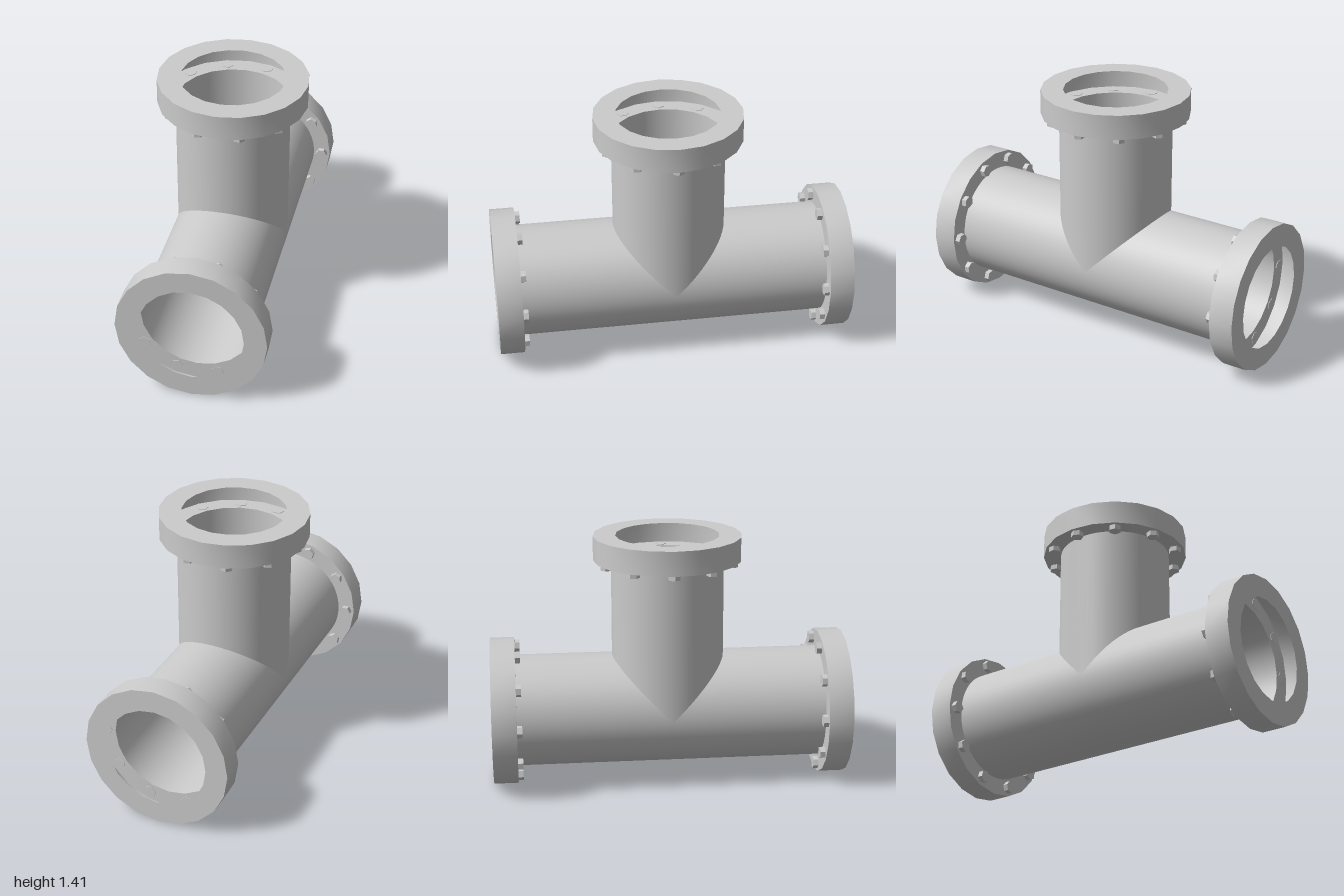
import * as THREE from 'three';
import { toCreasedNormals } from 'three/addons/utils/BufferGeometryUtils.js';

const PIPE_R = 0.315;
const FLANGE_R = 0.415;
const MOUTH_R = 0.29;
const PLATE = 0.863; // distance from the tee centre to the flange back plate
const BOLT_CIRCLE = 0.365;

const material = new THREE.MeshStandardMaterial({ color: 0xcccccc, side: THREE.DoubleSide });
const boltMaterial = new THREE.MeshStandardMaterial({ color: 0xcccccc, flatShading: true });

// Pipe along +y whose lower edge is trimmed by a rule of local z
function pipeGeometry(trim) {
  const geometry = new THREE.CylinderGeometry(PIPE_R, PIPE_R, PLATE, 64, 1, true);
  geometry.translate(0, PLATE / 2, 0);
  const p = geometry.attributes.position;
  for (let i = 0; i < p.count; i++) {
    if (p.getY(i) < 0.01) p.setY(i, trim(p.getZ(i)));
  }
  return geometry;
}

// Hollow thin-walled flange: back plate, rim and front ring
function flangeGeometry() {
  const profile = [
    [PIPE_R - 0.003, PLATE],
    [FLANGE_R, PLATE],
    [FLANGE_R, 1],
    [MOUTH_R, 1],
  ].map(([r, y]) => new THREE.Vector2(r, y));
  return toCreasedNormals(new THREE.LatheGeometry(profile, 20), 0.6);
}

function createLeg(name, trim, flange, bolt) {
  const leg = new THREE.Group();
  leg.name = name;

  const pipe = new THREE.Mesh(pipeGeometry(trim), material);
  pipe.name = 'pipe';
  const rim = new THREE.Mesh(flange, material);
  rim.name = 'flange';
  leg.add(pipe, rim);

  // Ring of hexagonal bolts under the back plate
  const bolts = new THREE.Group();
  bolts.name = 'bolts';
  for (let i = 0; i < 10; i++) {
    const a = (i / 10) * Math.PI * 2;
    const mesh = new THREE.Mesh(bolt, boltMaterial);
    mesh.name = 'bolt';
    mesh.position.set(BOLT_CIRCLE * Math.cos(a), PLATE - 0.013, BOLT_CIRCLE * Math.sin(a));
    mesh.rotation.y = -a;
    bolts.add(mesh);
  }
  leg.add(bolts);
  return leg;
}

export function createModel() {
  const model = new THREE.Group();
  model.name = 'pipeTee';

  const flange = flangeGeometry();
  const bolt = new THREE.CylinderGeometry(0.035, 0.035, 0.032, 6, 1, false, Math.PI / 2);

  // Three equal legs, mitred where they meet
  const branch = createLeg('branchLeg', (z) => Math.abs(z), flange, bolt);
  const front = createLeg('frontLeg', (z) => Math.max(0, -z), flange, bolt);
  front.rotation.x = Math.PI / 2;
  const back = createLeg('backLeg', (z) => Math.max(0, z), flange, bolt);
  back.rotation.x = -Math.PI / 2;

  model.add(branch, front, back);
  model.position.y = FLANGE_R;
  const root = new THREE.Group();
  root.name = 'pipeFitting';
  root.add(model);
  return root;
}
